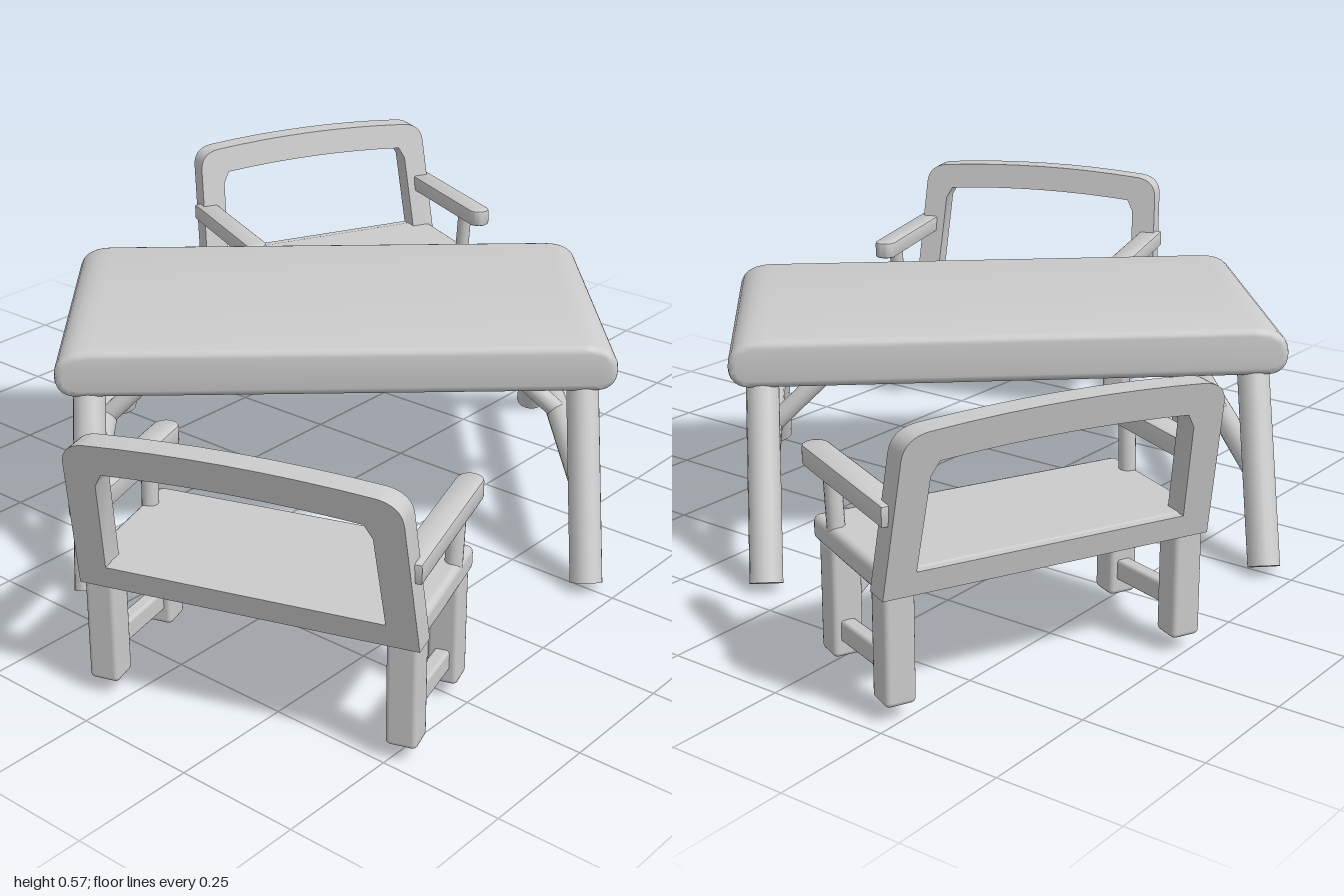
import * as THREE from 'three';
import { toCreasedNormals } from 'three/addons/utils/BufferGeometryUtils.js';
import { RoundedBoxGeometry } from 'three/addons/geometries/RoundedBoxGeometry.js';

const material = new THREE.MeshStandardMaterial({ color: 0xcccccc });
const V = (x, y, z) => new THREE.Vector3(x, y, z);

function add(parent, name, geometry, position) {
  const mesh = new THREE.Mesh(geometry, material);
  mesh.name = name;
  if (position) mesh.position.copy(position);
  parent.add(mesh);
  return mesh;
}

// Turn a mesh built along +y so that it spans from a to b
function span(mesh, a, b) {
  mesh.position.copy(a).add(b).multiplyScalar(0.5);
  mesh.quaternion.setFromUnitVectors(V(0, 1, 0), b.clone().sub(a).normalize());
  return mesh;
}

const pole = (parent, name, a, b, r) =>
  span(add(parent, name, new THREE.CylinderGeometry(r, r, a.distanceTo(b), 16)), a, b);

const bar = (parent, name, a, b, w, d) =>
  span(add(parent, name, new RoundedBoxGeometry(w, a.distanceTo(b), d, 2, 0.007)), a, b);

const box = (parent, name, w, h, d, x, y, z, r = 0.01) =>
  add(parent, name, new RoundedBoxGeometry(w, h, d, 2, r), V(x, y, z));

// Trestle table, long axis along z
function createTable() {
  const table = new THREE.Group();
  table.name = 'table';

  // Top: long profile with rounded ends, swept across the width
  const L = 0.563, lo = 0.397, hi = 0.468;
  const profile = new THREE.Shape();
  profile.moveTo(-L + 0.03, lo);
  profile.lineTo(L - 0.03, lo);
  profile.quadraticCurveTo(L, lo, L, lo + 0.03);
  profile.quadraticCurveTo(L, hi, L - 0.06, hi);
  profile.lineTo(-L + 0.06, hi);
  profile.quadraticCurveTo(-L, hi, -L, lo + 0.03);
  profile.quadraticCurveTo(-L, lo, -L + 0.03, lo);
  const top = new THREE.ExtrudeGeometry(profile, {
    depth: 0.61, bevelEnabled: true, bevelSize: 0.015, bevelThickness: 0.015, bevelSegments: 3, curveSegments: 6,
  });
  top.translate(0, 0, -0.305);
  top.rotateY(-Math.PI / 2);
  add(table, 'tableTop', toCreasedNormals(top, 0.7));

  // Splayed legs, cross bars and diagonal braces at each end
  for (const e of [-1, 1]) {
    const z = e * 0.51;
    for (const s of [-1, 1]) {
      pole(table, 'tableLeg', V(s * 0.46, 0.015, z), V(s * 0.27, 0.41, z), 0.034);
    }
    pole(table, 'tableCrossBar', V(-0.375, 0.186, z), V(0.375, 0.186, z), 0.027);
    pole(table, 'tableBrace', V(0, 0.19, z), V(0, 0.41, e * 0.28), 0.021);
  }
  return table;
}

// Bench with arms, facing +z
function createBench() {
  const bench = new THREE.Group();
  bench.name = 'bench';

  box(bench, 'seat', 0.65, 0.05, 0.32, 0, 0.262, 0.03, 0.014);

  // Arched open back frame, leaning backwards
  const frame = new THREE.Shape();
  frame.moveTo(-0.33, 0.238);
  frame.lineTo(0.33, 0.238);
  frame.lineTo(0.318, 0.51);
  frame.quadraticCurveTo(0.315, 0.55, 0.27, 0.556);
  frame.quadraticCurveTo(0, 0.58, -0.27, 0.556);
  frame.quadraticCurveTo(-0.315, 0.55, -0.318, 0.51);
  const opening = new THREE.Path();
  opening.moveTo(-0.27, 0.285);
  opening.lineTo(-0.26, 0.47);
  opening.lineTo(-0.245, 0.497);
  opening.quadraticCurveTo(0, 0.517, 0.245, 0.497);
  opening.lineTo(0.26, 0.47);
  opening.lineTo(0.27, 0.285);
  frame.holes.push(opening);
  const back = new THREE.ExtrudeGeometry(frame, { depth: 0.052, bevelEnabled: false, curveSegments: 8 });
  const p = back.attributes.position;
  for (let i = 0; i < p.count; i++) p.setZ(i, p.getZ(i) - 0.13 - (p.getY(i) - 0.24) * 0.21);
  add(bench, 'backFrame', toCreasedNormals(back, 0.5));

  for (const s of [-1, 1]) {
    // Arm rest with a rounded front end, on a round post
    const arm = new THREE.Shape();
    arm.moveTo(-0.022, 0.14);
    arm.lineTo(0.022, 0.14);
    arm.lineTo(0.022, -0.195);
    arm.absarc(0, -0.195, 0.022, 0, -Math.PI, true);
    const armGeometry = new THREE.ExtrudeGeometry(arm, {
      depth: 0.028, bevelEnabled: true, bevelSize: 0.004, bevelThickness: 0.006, bevelSegments: 2, curveSegments: 8,
    });
    armGeometry.rotateX(-Math.PI / 2);
    add(bench, 'armRest', toCreasedNormals(armGeometry, 0.6), V(s * 0.31, 0.384, 0));
    pole(bench, 'armPost', V(s * 0.308, 0.27, 0.115), V(s * 0.31, 0.39, 0.125), 0.017);

    // Legs, side stretcher and corner brace
    box(bench, 'frontLeg', 0.06, 0.22, 0.06, s * 0.295, 0.14, 0.13);
    box(bench, 'backLeg', 0.06, 0.22, 0.06, s * 0.295, 0.14, -0.095);
    bar(bench, 'sideStretcher', V(s * 0.295, 0.1, -0.09), V(s * 0.295, 0.08, 0.125), 0.03, 0.043);
    bar(bench, 'cornerBrace', V(s * 0.285, 0.14, 0.12), V(s * 0.17, 0.25, 0.12), 0.025, 0.025);
  }
  return bench;
}

export function createModel() {
  const model = new THREE.Group();
  model.name = 'tableWithBenches';

  const table = createTable();
  table.rotation.y = Math.atan2(0.667, 0.745);
  model.add(table);

  // Position and heading of each bench
  for (const [x, z, fx, fz] of [[-0.705, 0.452, 0.95, -0.316], [0.626, -0.514, -0.42, 0.907]]) {
    const bench = createBench();
    bench.position.set(x, 0, z);
    bench.rotation.y = Math.atan2(fx, fz);
    model.add(bench);
  }
  return model;
}
